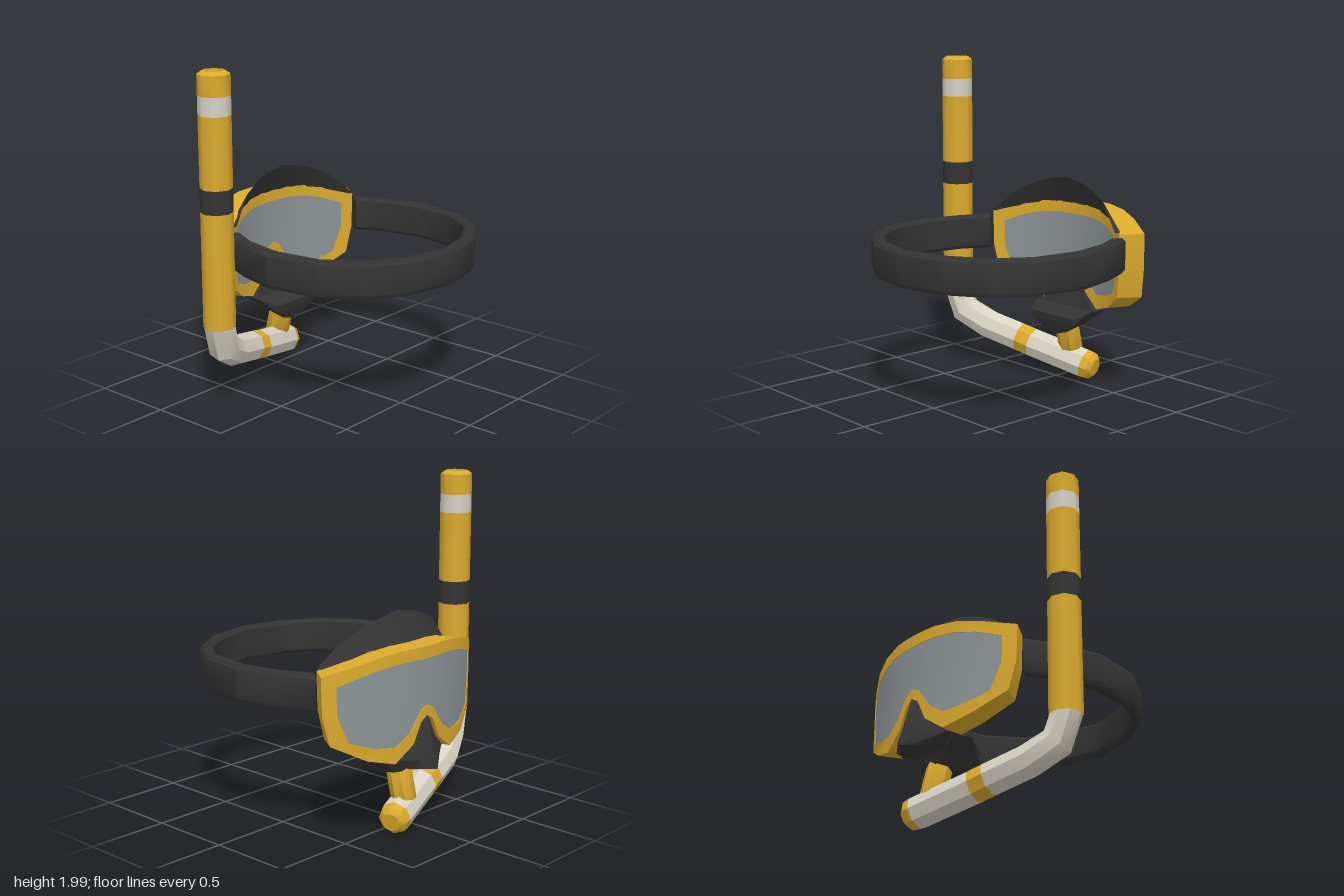
import * as THREE from 'three';
import { toCreasedNormals } from 'three/addons/utils/BufferGeometryUtils.js';
import { ConvexGeometry } from 'three/addons/geometries/ConvexGeometry.js';

const V = (x, y, z) => new THREE.Vector3(x, y, z);
const CX = 0.07; // centre line of mask and strap

function material(name, color) {
  const m = new THREE.MeshStandardMaterial({ color, side: THREE.DoubleSide });
  m.name = name;
  return m;
}

// Skin a row of equal closed cross-sections; ends are capped unless the row is a closed loop
function loft(sections, closed = false) {
  const n = sections[0].length, rows = sections.length, index = [];
  const pts = sections.flat();
  for (let i = 0; i < (closed ? rows : rows - 1); i++) {
    for (let j = 0; j < n; j++) {
      const a = i * n + j, b = i * n + (j + 1) % n;
      const c = ((i + 1) % rows) * n + j, d = ((i + 1) % rows) * n + (j + 1) % n;
      index.push(a, b, d, a, d, c);
    }
  }
  if (!closed) {
    const e = (rows - 1) * n;
    for (let j = 1; j < n - 1; j++) index.push(0, j + 1, j, e, e + j, e + j + 1);
  }
  // turn the faces outward
  let volume = 0;
  for (let i = 0; i < index.length; i += 3) {
    const [a, b, c] = [0, 1, 2].map((k) => pts[index[i + k]]);
    volume += a.dot(b.clone().cross(c));
  }
  if (volume < 0) index.reverse();
  const g = new THREE.BufferGeometry().setFromPoints(pts);
  g.setIndex(index);
  return toCreasedNormals(g, 0.65);
}

// Eight-sided rings along a path; returns one ring per point
function rings(path, radii, normal) {
  return path.map((p, i) => {
    const t = path[Math.min(i + 1, path.length - 1)].clone().sub(path[Math.max(i - 1, 0)]).normalize();
    const u = normal.clone().addScaledVector(t, -normal.dot(t)).normalize();
    const v = t.clone().cross(u);
    return Array.from({ length: 8 }, (_, k) => {
      const a = k * Math.PI / 4;
      return p.clone().addScaledVector(u, radii[i] * Math.cos(a)).addScaledVector(v, radii[i] * Math.sin(a));
    });
  });
}

// Wrap a flat outline point around the face at radius r
const R_FRONT = 1.07, R_BACK = 0.92;
function wrap([x, y], r) {
  const a = Math.asin(x / R_FRONT);
  return V(CX + r * Math.sin(a), y, 0.34 - r * Math.cos(a));
}
const flip = ([x, ...rest]) => [-x, ...rest];
// Left half to full row, running from -x to +x
const mirrorRow = (half) => [...half.slice(1).reverse().map(flip), ...half];

export function createModel() {
  const yellow = material('yellow plastic', 0xdcab2e);
  const black = material('black rubber', 0x343434);
  const white = material('off-white plastic', 0xd9d3c6);
  const glass = material('grey glass', 0x8c9496);

  const model = new THREE.Group();
  model.name = 'divingMaskAndSnorkel';
  const add = (name, geometry, mat, parent = model) => {
    const mesh = new THREE.Mesh(geometry, mat);
    mesh.name = name;
    parent.add(mesh);
    return mesh;
  };

  // Mask frame: matching outer and inner outlines, half of each
  const mask = new THREE.Group();
  mask.name = 'mask';
  model.add(mask);
  const outUp = [[0, 1.12], [0.08, 1.12], [0.17, 1.12], [0.32, 1.105], [0.46, 1.07], [0.64, 1.02]];
  const outLow = [[0, 0.72], [0.05, 0.69], [0.11, 0.57], [0.24, 0.48], [0.41, 0.525], [0.60, 0.63]];
  const inUp = [[0, 1.05], [0.08, 1.05], [0.17, 1.05], [0.30, 1.04], [0.43, 1.01], [0.57, 0.96]];
  const inLow = [[0, 0.78], [0.05, 0.76], [0.14, 0.64], [0.24, 0.575], [0.37, 0.59], [0.51, 0.64]];
  const outMid = [0.635, 0.8], inMid = [0.567, 0.8];
  const outline = (up, mid, low) => {
    const half = [...up, mid, ...[...low].reverse()];
    return [...half, ...half.slice(1, -1).reverse().map(flip)];
  };
  const outer = outline(outUp, outMid, outLow), inner = outline(inUp, inMid, inLow);
  add('maskFrame', loft(outer.map((o, i) => [
    wrap(o, R_FRONT), wrap(inner[i], R_FRONT), wrap(inner[i], R_BACK), wrap(o, R_BACK),
  ]), true), yellow, mask);

  // Lens, filled column by column
  const ups = mirrorRow([...inUp, inMid]), lows = mirrorRow([...inLow, inMid]);
  add('lens', loft(ups.map((u, i) => [
    wrap(u, R_FRONT - 0.004), wrap(lows[i], R_FRONT - 0.004),
    wrap(lows[i], R_BACK + 0.004), wrap(u, R_BACK + 0.004),
  ])), glass, mask);

  // Forehead skirt rising from the back of the frame
  const ridge = mirrorRow([[0, 1.29, -0.5], [0.12, 1.27, -0.5], [0.23, 1.24, -0.485], [0.37, 1.18, -0.45], [0.53, 1.03, -0.38]]);
  const base = mirrorRow([[0, 1.115], [0.14, 1.115], [0.28, 1.105], [0.44, 1.07], [0.62, 1.02]]);
  add('foreheadSkirt', loft(ridge.map(([x, y, z], i) => [
    V(CX + x, y, z), wrap(base[i], R_BACK + 0.015), wrap(base[i], R_BACK + 0.002),
  ])), black, mask);

  // Nose pocket: height, half width, back z, side z, front z
  const noseRows = [
    [0.72, 0.015, -0.57, -0.70, -0.735], [0.69, 0.05, -0.57, -0.70, -0.742],
    [0.57, 0.11, -0.56, -0.70, -0.772], [0.48, 0.23, -0.52, -0.65, -0.797],
    [0.42, 0.12, -0.52, -0.68, -0.81],
  ];
  add('nosePocket', loft(noseRows.map(([y, w, b, s, f]) => {
    const m = (s + 2 * f) / 3;
    return [[-w, b], [-w, s], [-w * 0.4, m], [0, f], [w * 0.4, m], [w, s], [w, b]].map(([x, z]) => V(CX + x, y, z));
  })), black, mask);

  // Mouth guard under the nose
  const guard = [
    [0.24, 0.48, -0.49], [0.19, 0.44, -0.39], [0.18, 0.40, -0.395], [0.10, 0.34, -0.42],
    [0, 0.31, -0.43], [0, 0.40, -0.415], [0.23, 0.47, -0.62], [0.10, 0.37, -0.58], [0, 0.355, -0.58],
  ];
  add('mouthGuard', toCreasedNormals(new ConvexGeometry(
    guard.flatMap(([x, y, z]) => [V(CX + x, y, z), V(CX - x, y, z)])), 0.3), black, mask);

  // Head strap: outer x, z and inner x, z at each corner
  const strap = mirrorRow([
    [0, 0.80, 0, 0.73], [0.30, 0.74, 0.265, 0.665], [0.53, 0.59, 0.475, 0.54], [0.675, 0.36, 0.605, 0.34],
    [0.73, 0.05, 0.645, 0.06], [0.67, -0.20, 0.60, -0.18], [0.58, -0.42, 0.52, -0.34],
  ]).map(([ox, oz, ix, iz]) => [ox, oz, Math.sign(ox) * Math.abs(ix), iz]);
  const strapGeometry = loft(strap.map(([ox, oz, ix, iz]) => {
    const at = (k, y) => V(CX + ix + (ox - ix) * k, y, iz + (oz - iz) * k);
    return [at(0, 0.81), at(0.2, 0.79), at(0.8, 0.79), at(1, 0.815),
      at(1, 0.98), at(0.8, 1.0), at(0.2, 1.0), at(0, 0.985)];
  }));
  add('headStrap', strapGeometry, black);

  // Snorkel barrel with coloured bands
  const snorkel = new THREE.Group();
  snorkel.name = 'snorkel';
  model.add(snorkel);
  const R = 0.095, BX = -0.705, BZ = -0.29;
  [['barrelLower', 0.5, 1.19, yellow], ['darkBand', 1.19, 1.33, black],
    ['barrelUpper', 1.33, 1.75, yellow], ['paleBand', 1.75, 1.86, white]].forEach(([name, y0, y1, mat]) => {
    const mesh = add(name, new THREE.CylinderGeometry(R, R, y1 - y0, 8, 1, true), mat, snorkel);
    mesh.position.set(BX, (y0 + y1) / 2, BZ);
  });
  const rim = [[R, 1.86], [R, 1.98], [0.068, 2], [0.055, 2], [0.045, 1.93], [0, 1.93]];
  const top = add('barrelRim', toCreasedNormals(new THREE.LatheGeometry(
    rim.map(([x, y]) => new THREE.Vector2(x, y)), 8), 0.8), yellow, snorkel);
  top.position.set(BX, 0, BZ);

  // Curved lower tube, split by colour
  const path = [
    [BX, 0.5, BZ], [-0.655, 0.355, -0.31], [-0.505, 0.268, -0.385], [-0.28, 0.213, -0.455],
    [-0.19, 0.19, -0.48], [0.17, 0.107, -0.59], [0.21, 0.098, -0.602], [0.237, 0.092, -0.61],
  ].map((p) => V(...p));
  const tube = rings(path, [R, R, R, R, R, R, R * 0.93, R * 0.6], V(0.29, 0, 0.95));
  // level the first ring with the barrel
  tube[0].forEach((p) => { p.y = 0.5; });
  [['lowerBend', 0, 3, white], ['tubeRing', 3, 4, yellow], ['lowerTube', 4, 5, white], ['endCap', 5, 7, yellow]]
    .forEach(([name, a, b, mat]) => add(name, loft(tube.slice(a, b + 1)), mat, snorkel));

  // Mouthpiece stem
  const stem = [V(CX, 0.38, -0.515), V(CX, 0.18, -0.565), V(CX, 0.14, -0.575)];
  add('mouthpieceStem', loft(rings(stem, [0.074, 0.074, 0.045], V(1, 0, 0))), yellow, snorkel);

  return model;
}
